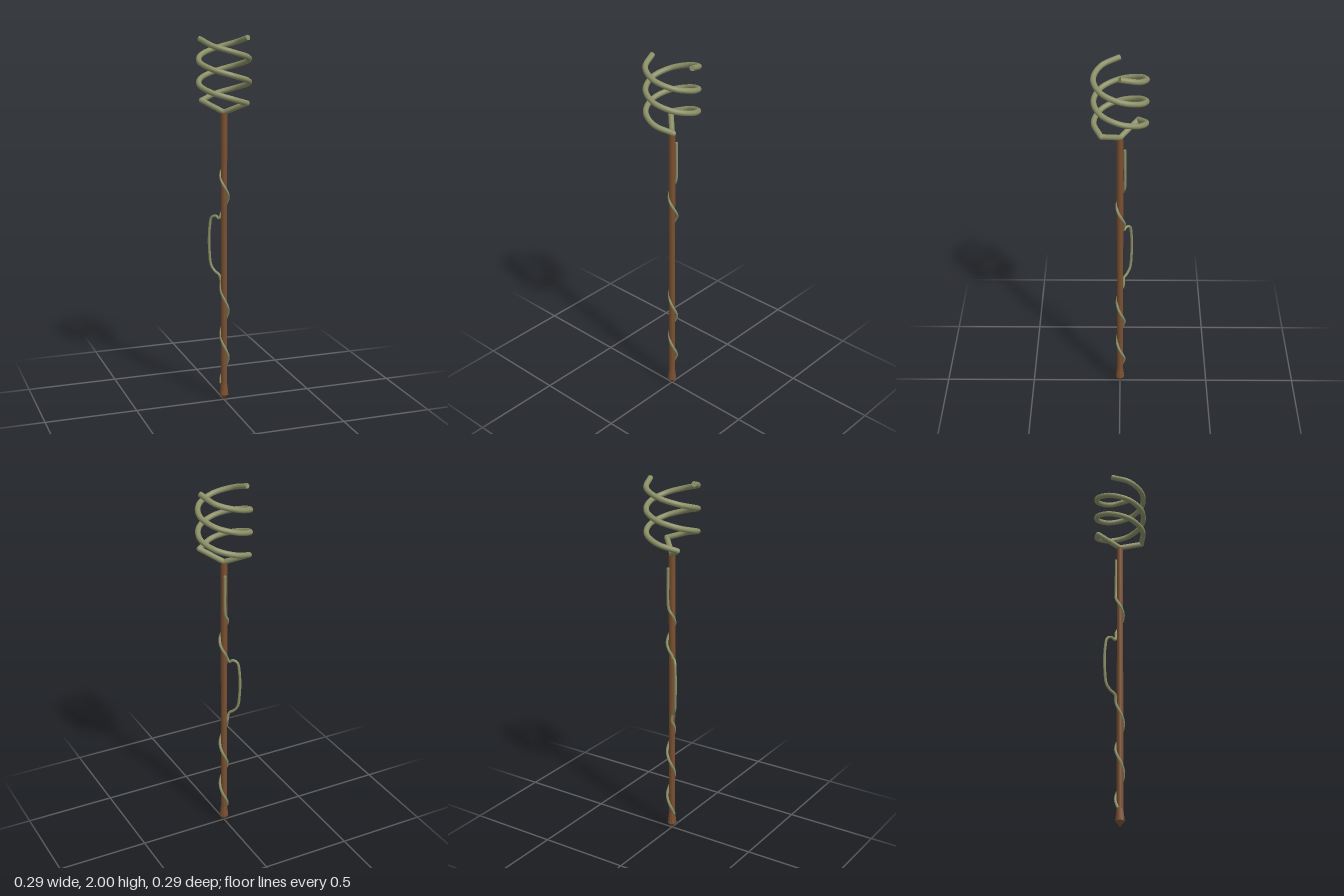
import * as THREE from 'three';

const wood = new THREE.MeshStandardMaterial({ color: 0x7a4f30 });
const vineGreen = new THREE.MeshStandardMaterial({ color: 0x8a8f66 });

// Point at an angle (0 = +x, 90 = +z), radius and height
function polar(deg, r, y, ox = 0, oz = 0) {
  const a = THREE.MathUtils.degToRad(deg);
  return new THREE.Vector3(Math.cos(a) * r + ox, y, Math.sin(a) * r + oz);
}

// Round rod along a curve with flat end caps
function rod(name, curve, segments, radius, sides) {
  const group = new THREE.Group();
  group.name = name;
  const body = new THREE.Mesh(new THREE.TubeGeometry(curve, segments, radius, sides), vineGreen);
  body.name = name + 'Body';
  group.add(body);
  for (const [t, dir] of [[0, -1], [1, 1]]) {
    const cap = new THREE.Mesh(new THREE.CircleGeometry(radius, sides), vineGreen);
    cap.name = name + 'Cap';
    cap.position.copy(curve.getPointAt(t));
    cap.lookAt(cap.position.clone().addScaledVector(curve.getTangentAt(t), dir));
    group.add(cap);
  }
  return group;
}

// One strand of the head: a straight stem, a bent joint and a rising coil
function headStrand() {
  const strand = new THREE.Group();
  strand.name = 'headStrand';
  const points = [];
  for (let i = 0; i <= 11; i++) {
    const deg = 45 + i * 45;
    points.push(polar(deg, 0.133, 1.658 + 0.03 * i));
  }
  const start = points[0];
  strand.add(rod('coil', new THREE.CatmullRomCurve3(points), 120, 0.0145, 12));
  strand.add(rod('stem', new THREE.LineCurve3(new THREE.Vector3(0, 1.603, 0), start), 1, 0.0145, 12));
  const joint = new THREE.Mesh(new THREE.SphereGeometry(0.0145, 12, 8), vineGreen);
  joint.name = 'joint';
  joint.position.copy(start);
  strand.add(joint);
  return strand;
}

// Thin vine: winds up the shaft, bows out as a handle, then winds on
function vine() {
  const points = [];
  const wind = (from, to, y, pitch) => {
    for (let deg = from; deg <= to; deg += 45) {
      points.push(polar(deg, 0.021, y + ((deg - from) / 360) * pitch, 0.004, -0.004));
    }
  };
  wind(180, 945, 0.095, 0.27);
  const handle = [[0.03, 0.715], [0.055, 0.733], [0.078, 0.765], [0.088, 0.84],
    [0.09, 0.91], [0.086, 0.98], [0.075, 1.03], [0.05, 1.041], [0.03, 1.03]];
  for (const [r, y] of handle) points.push(polar(225, r, y));
  wind(225, 630, 1.04 + 0.23 * 0.05, 0.23);
  points.push(polar(640, 0.022, 1.535, 0.004, -0.004));
  return rod('vine', new THREE.CatmullRomCurve3(points), 360, 0.0075, 8);
}

export function createModel() {
  const model = new THREE.Group();
  model.name = 'staff';

  // Slim shaft
  const shaft = new THREE.Mesh(new THREE.CylinderGeometry(0.0175, 0.0175, 1.51, 12), wood);
  shaft.name = 'shaft';
  shaft.position.y = 0.845;
  model.add(shaft);

  // Flared foot with a pointed tip
  const profile = [[0.0175, 0.095], [0.025, 0.032]];
  const footPoints = [[0, 0.002], ...profile.reverse()].map(([x, y]) => new THREE.Vector2(x, y));
  footPoints[0].y = 0;
  const footGeometry = new THREE.LatheGeometry(footPoints, 12).toNonIndexed();
  footGeometry.computeVertexNormals();
  const foot = new THREE.Mesh(footGeometry, wood);
  foot.name = 'foot';
  model.add(foot);

  model.add(vine());

  // Two opposite strands form the open spiral head
  for (const turn of [0, Math.PI]) {
    const strand = headStrand();
    strand.rotation.y = turn;
    model.add(strand);
  }
  return model;
}
